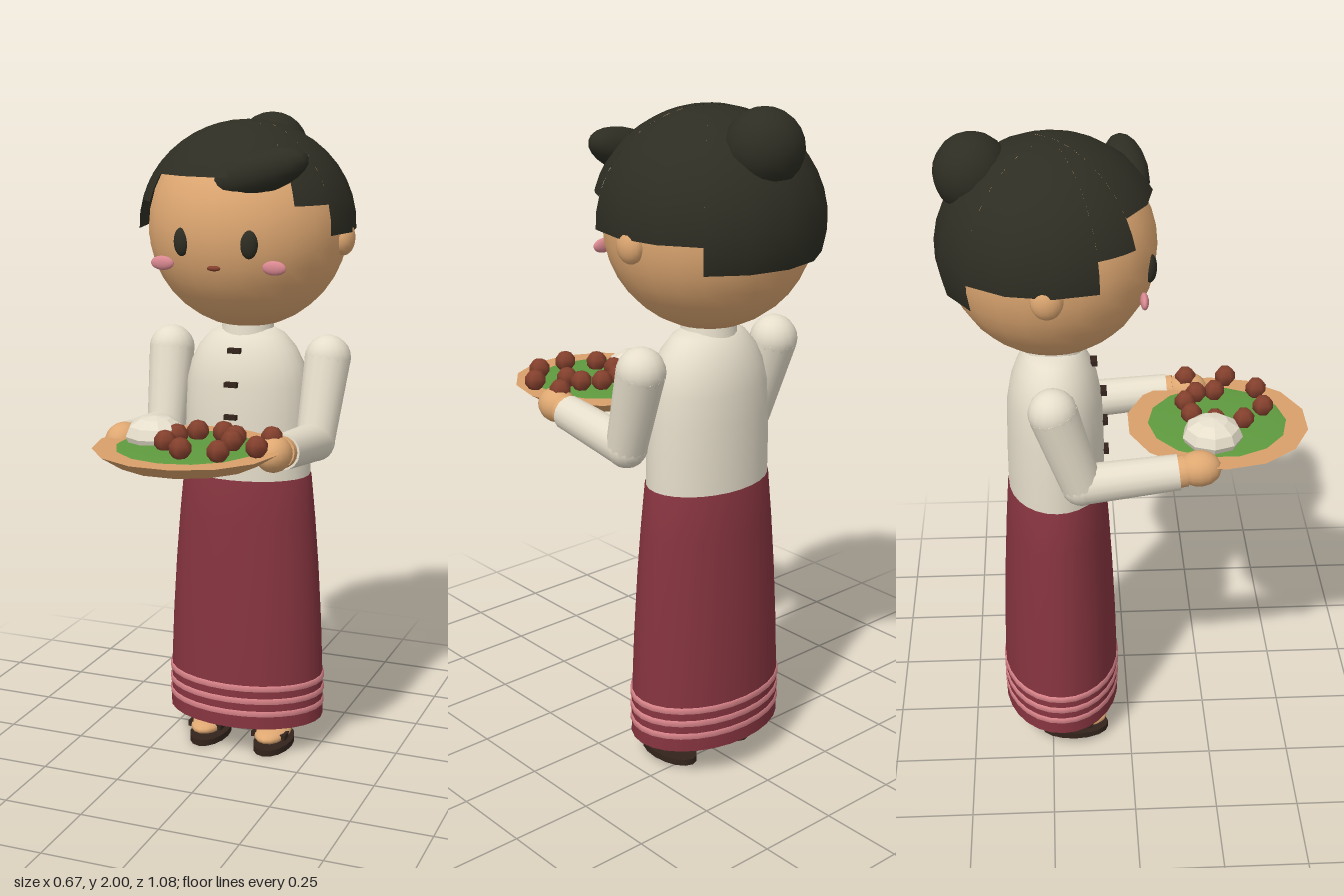
import * as THREE from 'three';

const mat = (name, color, extra = {}) => {
  const m = new THREE.MeshStandardMaterial({ color, ...extra });
  m.name = name;
  return m;
};

export function createModel() {
  const root = new THREE.Group();
  root.name = 'servingFigure';
  const two = { side: THREE.DoubleSide };
  const skin = mat('skin', 0xdfa872);
  const hair = mat('hair', 0x2d2d23, two);
  const cream = mat('cream', 0xe6decb, two);
  const red = mat('skirtRed', 0x86343f, two);
  const stripePink = mat('stripePink', 0xd9848a);
  const blush = mat('blush', 0xd98890);
  const dark = mat('darkBrown', 0x33241c);
  const leafGreen = mat('leafGreen', 0x5f9a3f);
  const meat = mat('meatBrown', 0x84402d);
  const wicker = mat('wicker', 0xd8a06a);
  const CZ = -0.217; // body axis

  const add = (name, geo, m, pos = [0, 0, 0], scale = [1, 1, 1], rot = [0, 0, 0], parent = root) => {
    const mesh = new THREE.Mesh(geo, m);
    mesh.name = name;
    mesh.position.set(...pos);
    mesh.scale.set(...scale);
    mesh.rotation.set(...rot);
    parent.add(mesh);
    return mesh;
  };
  const ball = (name, m, pos, radii, rot, parent) =>
    add(name, new THREE.SphereGeometry(1, 16, 12), m, pos, radii, rot, parent);
  // Tapered cylinder between two points
  const limb = (name, m, a, b, ra, rb, parent) => {
    const A = new THREE.Vector3(...a), B = new THREE.Vector3(...b);
    const d = B.clone().sub(A);
    const mesh = add(name, new THREE.CylinderGeometry(rb, ra, d.length(), 16), m, [0, 0, 0], [1, 1, 1], [0, 0, 0], parent);
    mesh.position.copy(A).addScaledVector(d, 0.5);
    mesh.quaternion.setFromUnitVectors(new THREE.Vector3(0, 1, 0), d.normalize());
    return mesh;
  };
  const lathe = (name, m, pts) =>
    add(name, new THREE.LatheGeometry(pts.map(p => new THREE.Vector2(...p)), 28), m, [0, 0, CZ], [1, 1, 0.715]);

  // Head and face
  add('head', new THREE.SphereGeometry(1, 24, 18), skin, [0, 1.67, CZ], [0.305, 0.31, 0.3]);
  ball('mouth', meat, [0, 1.57, 0.068], [0.021, 0.008, 0.01]);
  for (const s of [-1, 1]) {
    ball('ear', skin, [s * 0.3, 1.64, -0.23], [0.033, 0.052, 0.045]);
    ball('eye', hair, [s * 0.105, 1.642, 0.057], [0.026, 0.042, 0.018], [0, s * 0.3, 0]);
    ball('cheek', blush, [s * 0.175, 1.575, 0.037], [0.037, 0.021, 0.012]);
  }

  // Hair cap in stepped sections: from angle, to angle (degrees from the front), lower edge height
  const sections = [
    [-45, 45, 1.83], [45, 67.5, 1.75], [67.5, 135, 1.66], [135, 225, 1.58],
    [225, 292.5, 1.66], [292.5, 315, 1.75],
  ];
  const cap = new THREE.Group();
  cap.name = 'hairCap';
  root.add(cap);
  for (const [a, b, y] of sections) {
    const rad = THREE.MathUtils.degToRad;
    const geo = new THREE.SphereGeometry(1, Math.round((b - a) / 22.5), 10,
      rad(a + 90), rad(b - a), 0, Math.acos((y - 1.67) / 0.315));
    add('hairSection', geo, hair, [0, 1.67, CZ + 0.003], [0.33, 0.315, 0.328], [0, 0, 0], cap);
  }
  ball('hairBun', hair, [0, 1.89, -0.425], [0.113, 0.11, 0.108]);
  ball('fringe', hair, [0.113, 1.842, 0], [0.152, 0.062, 0.063], [0, 0.12, 0.3]);

  // Blouse, collar and buttons
  lathe('blouse', cream, [
    [0.203, 0.89], [0.203, 1.0], [0.2, 1.1], [0.195, 1.19], [0.18, 1.25],
    [0.155, 1.3], [0.12, 1.34], [0.085, 1.358], [0, 1.36],
  ]);
  add('collar', new THREE.CylinderGeometry(0.078, 0.085, 0.05, 20), cream, [0, 1.352, CZ]);
  [[1.3, -0.1], [1.2, -0.073], [1.1, -0.07], [1.0, -0.068]].forEach(([y, z]) =>
    add('button', new THREE.BoxGeometry(0.04, 0.015, 0.02), dark, [0, y, z]));

  // Skirt with three hem stripes
  lathe('skirt', red, [[0.255, 0.1], [0.252, 0.25], [0.245, 0.42], [0.234, 0.6], [0.221, 0.76], [0.207, 0.9], [0.19, 0.902]]);
  for (const y of [0.15, 0.192, 0.234])
    lathe('hemStripe', stripePink, [[0.252, y - 0.01], [0.258, y - 0.008], [0.258, y + 0.008], [0.251, y + 0.01]]);

  for (const s of [-1, 1]) {
    // Arms holding the tray
    const arm = new THREE.Group();
    arm.name = s > 0 ? 'leftArm' : 'rightArm';
    root.add(arm);
    const shoulder = [s * 0.258, 1.275, -0.222], elbow = [s * 0.247, 1.03, -0.145], wrist = [s * 0.24, 1.06, 0.135];
    ball('shoulder', cream, shoulder, [0.071, 0.071, 0.071], undefined, arm);
    limb('upperSleeve', cream, shoulder, elbow, 0.071, 0.06, arm);
    ball('elbow', cream, elbow, [0.061, 0.061, 0.061], undefined, arm);
    limb('lowerSleeve', cream, elbow, wrist, 0.06, 0.053, arm);
    limb('wrist', skin, [s * 0.24, 1.058, 0.12], [s * 0.238, 1.064, 0.155], 0.047, 0.047, arm);
    ball('hand', skin, [s * 0.235, 1.068, 0.195], [0.053, 0.053, 0.064], undefined, arm);

    // Legs and sandals
    const leg = new THREE.Group();
    leg.name = s > 0 ? 'leftLeg' : 'rightLeg';
    root.add(leg);
    const x = s * 0.11;
    limb('shin', skin, [x, 0.05, -0.215], [x, 0.4, CZ], 0.052, 0.06, leg);
    ball('foot', skin, [x, 0.048, -0.17], [0.055, 0.026, 0.095], undefined, leg);
    add('sole', new THREE.CylinderGeometry(1, 1, 0.02, 16), dark, [x, 0.01, -0.178], [0.06, 1, 0.108], [0, 0, 0], leg);
    add('strap', new THREE.BoxGeometry(0.114, 0.018, 0.04), dark, [x, 0.05, -0.14], [1, 1, 1], [0, 0, 0], leg);
  }

  // Tray with leaf lining
  const TZ = 0.268, seg = 14;
  const trayGeo = new THREE.CylinderGeometry(0.273, 0.21, 0.04, seg).toNonIndexed();
  trayGeo.computeVertexNormals();
  add('tray', trayGeo, wicker, [0, 1.065, TZ], [1, 1, 1], [0, Math.PI / seg, 0]);
  add('leafLining', new THREE.SphereGeometry(1, seg, 10), leafGreen, [0, 1.078, TZ], [0.235, 0.016, 0.235], [0, Math.PI / 2, 0]);

  // Faceted rice mound
  const riceGeo = new THREE.SphereGeometry(1, 9, 6).toNonIndexed();
  riceGeo.computeVertexNormals();
  add('riceMound', riceGeo, cream, [-0.11, 1.105, 0.243], [0.09, 0.057, 0.09]);

  // Meatballs
  const spots = [
    [0, 0.19], [0.075, 0.177], [0.126, 0.214], [0.137, 0.271], [0.227, 0.19],
    [0.227, 0.314], [0.146, 0.4], [0.037, 0.409], [-0.037, 0.343], [-0.037, 0.257],
  ];
  for (const [x, z] of spots)
    add('meatball', new THREE.SphereGeometry(0.033, 6, 5), meat, [x, 1.115, z], [1, 1, 1], [0, Math.PI / 6, 0]);

  return root;
}
